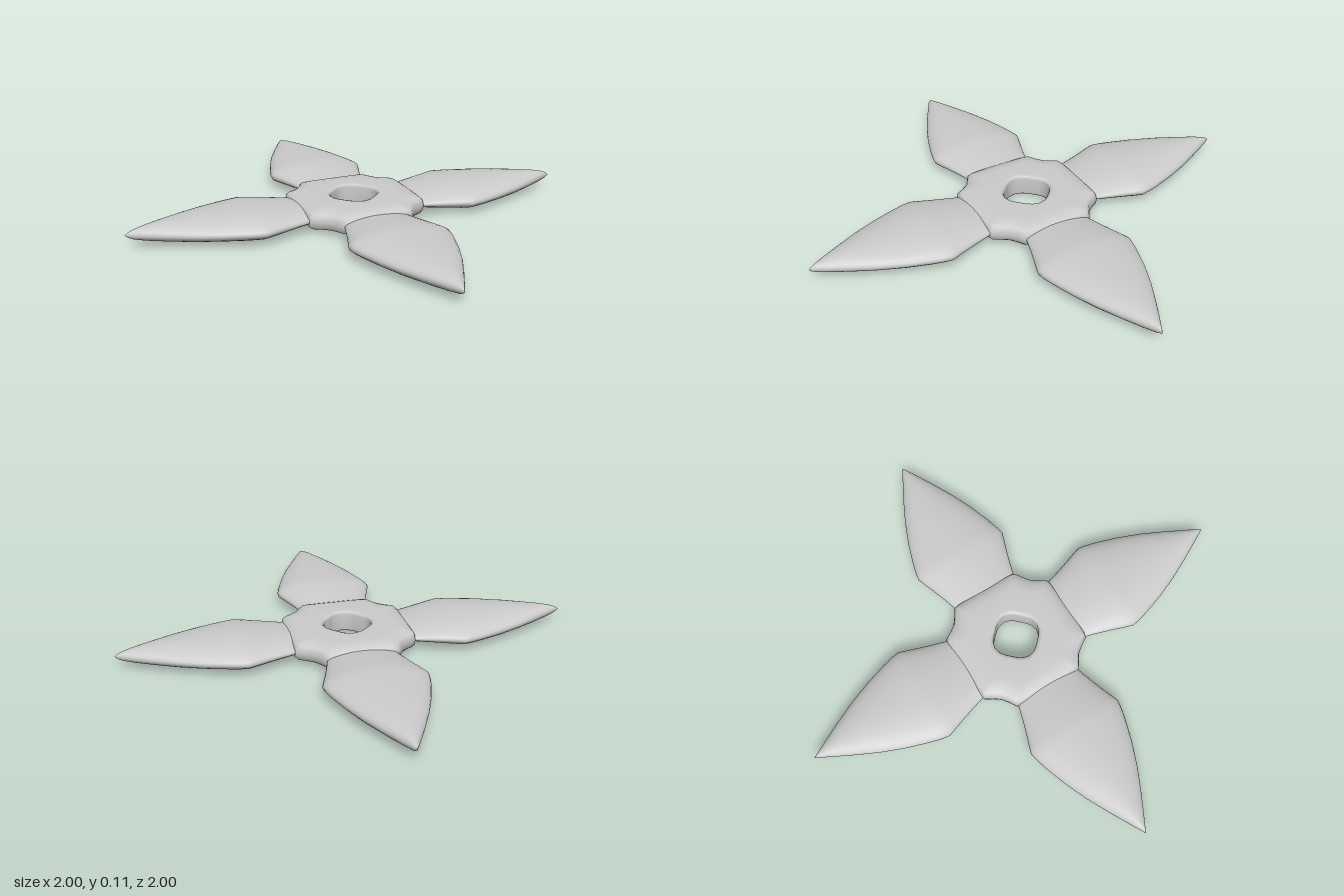
import * as THREE from 'three';

const MID = 0.055; // height of the middle plane

// Skin a grid of points: rows of closed loops, optionally joined end to end
function skin(rows, closeRows) {
  const n = rows[0].length;
  const index = [];
  const last = closeRows ? rows.length : rows.length - 1;
  for (let i = 0; i < last; i++) {
    const k = (i + 1) % rows.length;
    for (let j = 0; j < n; j++) {
      const m = (j + 1) % n;
      const a = i * n + j, b = k * n + j, c = k * n + m, d = i * n + m;
      index.push(a, b, c, a, c, d);
    }
  }
  const geo = new THREE.BufferGeometry();
  geo.setAttribute('position', new THREE.Float32BufferAttribute(rows.flat(2), 3));
  geo.setIndex(index);
  geo.computeVertexNormals();
  return geo;
}

// Leaf-shaped blade pointing along +x, oval in section
function bladeGeometry() {
  // distance along blade, half width, half thickness
  const stations = [
    [0.22, 0.14, 0.028], [0.27, 0.155, 0.032], [0.33, 0.173, 0.041], [0.39, 0.193, 0.048],
    [0.44, 0.211, 0.053], [0.47, 0.221, 0.055], [0.5, 0.216, 0.055], [0.55, 0.203, 0.054],
    [0.65, 0.17, 0.051], [0.75, 0.129, 0.046], [0.84, 0.085, 0.039], [0.92, 0.043, 0.03],
    [0.97, 0.016, 0.019], [0.99, 0.005, 0.009], [1, 0, 0],
  ];
  const sides = 32;
  return skin(stations.map(([x, w, h]) => Array.from({ length: sides }, (_, j) => {
    const t = (j / sides) * Math.PI * 2;
    return [x, MID + h * Math.sin(t), w * Math.cos(t)];
  })), false);
}

// Pierced hub: a rounded profile swept round a notched outline
function hubGeometry() {
  const quarter = [
    [0.27, 0], [0.27, 0.08], [0.268, 0.14], [0.262, 0.159], [0.23, 0.178],
    [0.2, 0.2], [0.178, 0.23], [0.159, 0.262], [0.14, 0.268], [0.08, 0.27],
  ];
  const rows = [];
  for (let q = 0; q < 4; q++) {
    for (const [px, pz] of quarter) {
      const a = Math.atan2(pz, px) + q * Math.PI / 2;
      const R = Math.hypot(px, pz);
      const hole = 0.1 + 0.006 * Math.cos(4 * a);
      const top = [
        [hole, 0.036], [hole + 0.006, 0.045], [hole + 0.02, 0.049], [R * 0.74, 0.048],
        [R * 0.86, 0.042], [R * 0.95, 0.033], [R * 0.985, 0.022],
      ];
      const bottom = top.map(([r, y]) => [r, -y]).reverse();
      rows.push([...top, [R, 0], ...bottom].map(([r, y]) =>
        [r * Math.cos(a), MID + y, r * Math.sin(a)]));
    }
  }
  return skin(rows, true);
}

export function createModel() {
  const group = new THREE.Group();
  group.name = 'throwingStar';
  const steel = new THREE.MeshStandardMaterial({ color: 0xcccccc });

  const hub = new THREE.Mesh(hubGeometry(), steel);
  hub.name = 'hub';
  group.add(hub);

  // Four identical blades
  const geo = bladeGeometry();
  for (let i = 0; i < 4; i++) {
    const blade = new THREE.Mesh(geo, steel);
    blade.name = 'blade' + (i + 1);
    blade.rotation.y = i * Math.PI / 2;
    group.add(blade);
  }
  return group;
}
